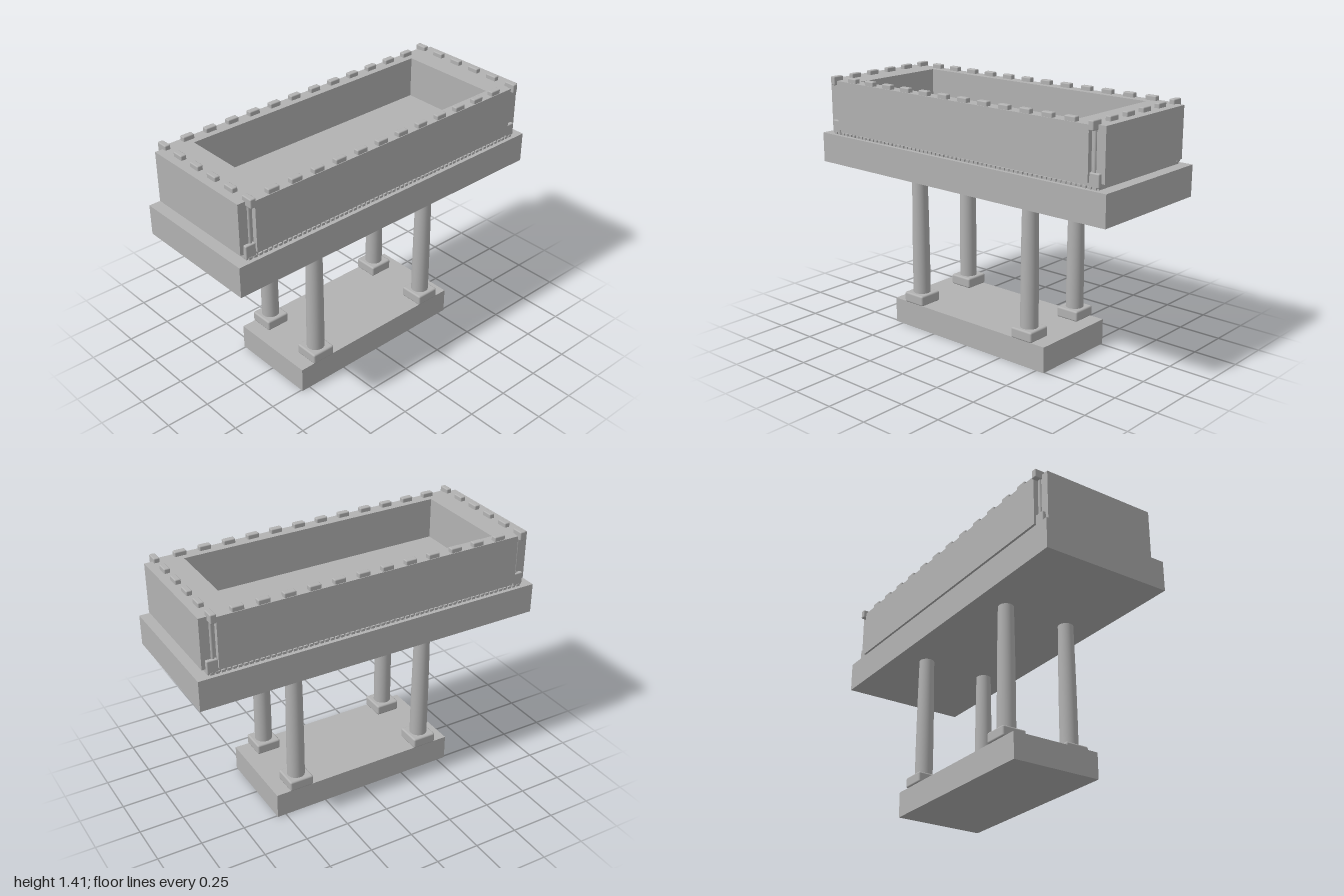
import * as THREE from 'three';
import { RoundedBoxGeometry } from 'three/addons/geometries/RoundedBoxGeometry.js';

export function createModel() {
  const model = new THREE.Group();
  const stone = new THREE.MeshStandardMaterial({ color: 0xb2b2b2 });
  stone.name = 'grey stone';

  const add = (name, geometry, x, y, z) => {
    const mesh = new THREE.Mesh(geometry, stone);
    mesh.name = name;
    mesh.position.set(x, y, z);
    model.add(mesh);
    return mesh;
  };
  // Box given by its centre in x and z and its bottom and top heights
  const box = (name, w, d, y0, y1, x = 0, z = 0) =>
    add(name, new THREE.BoxGeometry(w, y1 - y0, d), x, (y0 + y1) / 2, z);
  const softBox = (name, w, d, y0, y1, x, z, r = 0.006) =>
    add(name, new RoundedBoxGeometry(w, y1 - y0, d, 2, r), x, (y0 + y1) / 2, z);

  // Foot block and large slab
  box('footBlock', 0.52, 1.1, 0, 0.145);
  box('slab', 0.75, 2, 0.91, 1.08);

  // Four columns with a slight swelling, on square bases
  const profile = [[0.049, 0.2], [0.049, 0.36], [0.048, 0.52], [0.046, 0.7], [0.0425, 0.91]]
    .map(([r, y]) => new THREE.Vector2(r, y));
  const columnGeometry = new THREE.LatheGeometry(profile, 24);
  for (const x of [-0.197, 0.197]) {
    for (const z of [-0.4, 0.4]) {
      softBox('columnBase', 0.142, 0.14, 0.145, 0.205, x, z, 0.01);
      add('column', columnGeometry, x, 0, z);
    }
  }

  // Trough walls: notched corners outside, rectangular basin inside
  const X = 0.36, Z = 0.96, x = 0.333, z = 0.88;
  const outline = new THREE.Shape([
    [x, -Z], [x, -z], [X, -z], [X, z], [x, z], [x, Z],
    [-x, Z], [-x, z], [-X, z], [-X, -z], [-x, -z], [-x, -Z],
  ].map(([a, b]) => new THREE.Vector2(a, b)));
  outline.holes.push(new THREE.Path([
    [-0.287, -0.76], [-0.287, 0.76], [0.287, 0.76], [0.287, -0.76],
  ].map(([a, b]) => new THREE.Vector2(a, b))));
  const walls = new THREE.ExtrudeGeometry(outline, { depth: 0.28, bevelEnabled: false });
  walls.rotateX(-Math.PI / 2);
  add('troughWalls', walls, 0, 1.11, 0);
  box('basinFloor', 0.6, 1.56, 1.1, 1.157);
  box('plinth', 0.69, 1.87, 1.08, 1.112);

  // Corner posts and feet
  for (const sx of [-1, 1]) {
    for (const sz of [-1, 1]) {
      softBox('cornerFoot', 0.03, 0.06, 1.088, 1.16, sx * 0.337, sz * 0.91);
      add('cornerPost', new THREE.CylinderGeometry(0.009, 0.009, 0.23, 12),
        sx * 0.334, 1.265, sz * 0.9);
    }
  }

  // Fine beading under the long sides
  const beadGeometry = new THREE.BoxGeometry(0.014, 0.013, 0.02);
  for (const sx of [-1, 1]) {
    for (let i = 0; i < 62; i++) {
      add('bead', beadGeometry, sx * 0.347, 1.0865, (i - 30.5) * 0.03);
    }
  }

  // Blocks along the rim; the outermost ones overhang the corners
  for (const s of [-1, 1]) {
    for (let i = 0; i < 6; i++) {
      softBox('endRimBlock', 0.067, 0.032, 1.365, 1.415, (i - 2.5) * 0.1365, s * 0.9);
    }
    for (let i = 0; i < 12; i++) {
      softBox('sideRimBlock', 0.034, 0.066, 1.365, 1.415, s * 0.339, (i - 5.5) * 0.1387);
    }
  }
  return model;
}
